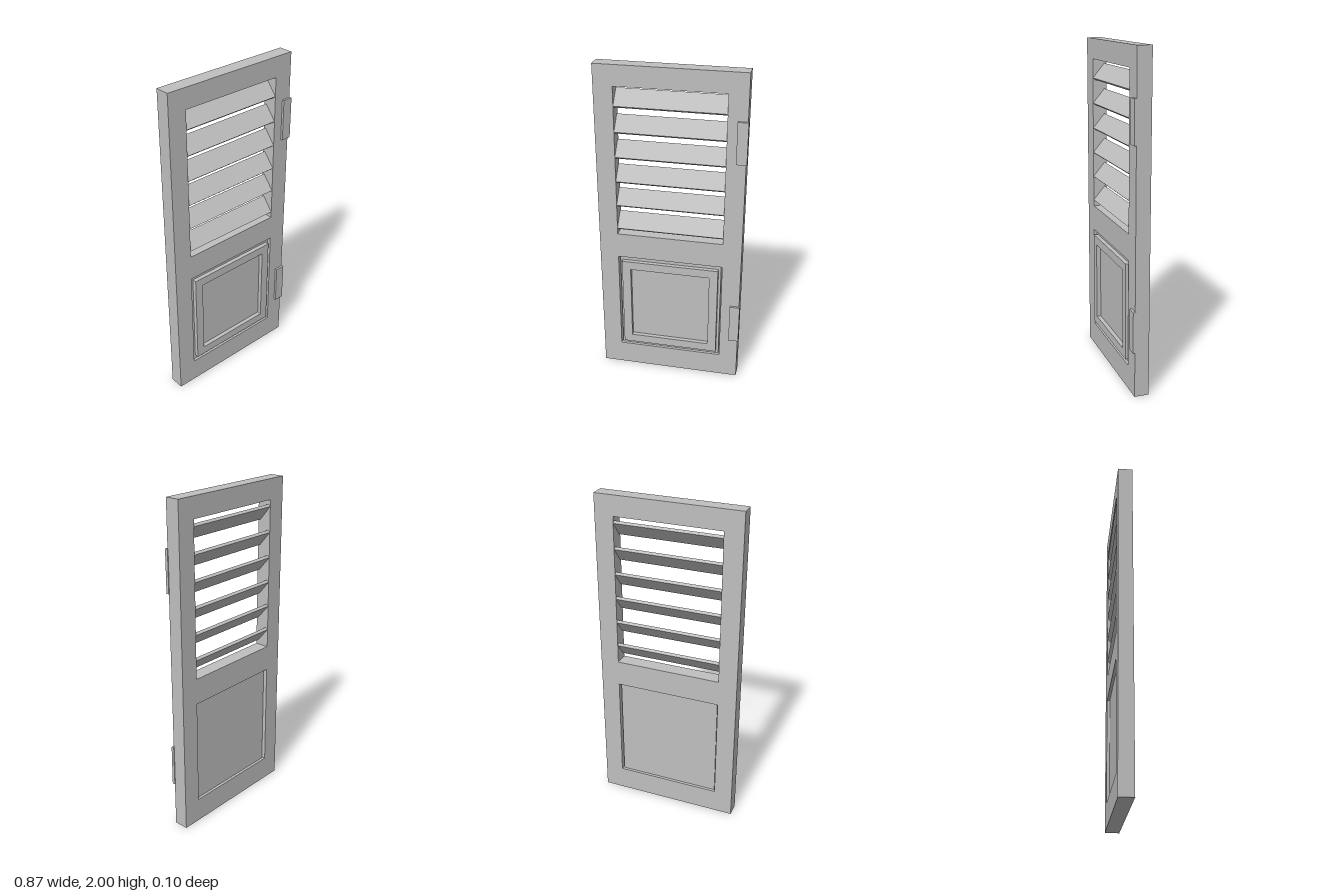
import * as THREE from 'three';

const CX = -0.0025;            // centre line of the door leaf (hinges overhang on +x)
const W = 0.869, H = 2;        // leaf size
const BACK = -0.05, DEPTH = 0.0866;
const MID = BACK + DEPTH / 2;
const OPEN_W = 0.643;          // width of both openings
const LOUVRE = [0.957, 1.878]; // bottom and top of the upper opening
const PANEL = [0.148, 0.8];    // bottom and top of the lower opening

function rect(Type, w, y0, y1) {
  const h = w / 2;
  return new Type([
    new THREE.Vector2(-h, y0), new THREE.Vector2(h, y0),
    new THREE.Vector2(h, y1), new THREE.Vector2(-h, y1),
  ]);
}

function slab(shape, depth) {
  return new THREE.ExtrudeGeometry(shape, { depth, bevelEnabled: false });
}

export function createModel() {
  const door = new THREE.Group();
  door.name = 'louvredDoor';
  const grey = new THREE.MeshStandardMaterial({ color: 0xbfbfbf });
  grey.name = 'grey';

  const add = (name, geometry, x, y, z) => {
    const mesh = new THREE.Mesh(geometry, grey);
    mesh.name = name;
    mesh.position.set(x, y, z);
    door.add(mesh);
    return mesh;
  };

  // Stiles and rails as one slab with two openings
  const frame = rect(THREE.Shape, W, 0, H);
  frame.holes.push(rect(THREE.Path, OPEN_W, ...LOUVRE), rect(THREE.Path, OPEN_W, ...PANEL));
  add('frame', slab(frame, DEPTH), CX, 0, BACK);

  // Slats tilted with the low edge at the front
  const count = 6;
  const pitch = (LOUVRE[1] - LOUVRE[0]) / count;
  const slatGeometry = new THREE.BoxGeometry(OPEN_W, 0.0185, 0.113);
  for (let i = 0; i < count; i++) {
    const slat = add('slat', slatGeometry, CX, LOUVRE[0] + pitch * (i + 0.5), MID);
    slat.rotation.x = THREE.MathUtils.degToRad(50);
  }

  // Recessed lower panel with a narrow gap at each side
  const panelY = (PANEL[0] + PANEL[1]) / 2;
  const panelDepth = 0.052;
  add('panel', new THREE.BoxGeometry(OPEN_W - 0.016, PANEL[1] - PANEL[0], panelDepth), CX, panelY, MID);

  // Raised square moulding on the panel
  const moulding = rect(THREE.Shape, 0.596, -0.298, 0.298);
  moulding.holes.push(rect(THREE.Path, 0.49, -0.245, 0.245));
  add('moulding', slab(moulding, 0.026), CX, panelY, MID + panelDepth / 2);

  // Hinge plates
  for (const y of [0.405, 1.6025]) {
    add('hinge', new THREE.BoxGeometry(0.061, 0.25, 0.0174), 0.4065, y, 0.0413);
  }
  return door;
}
